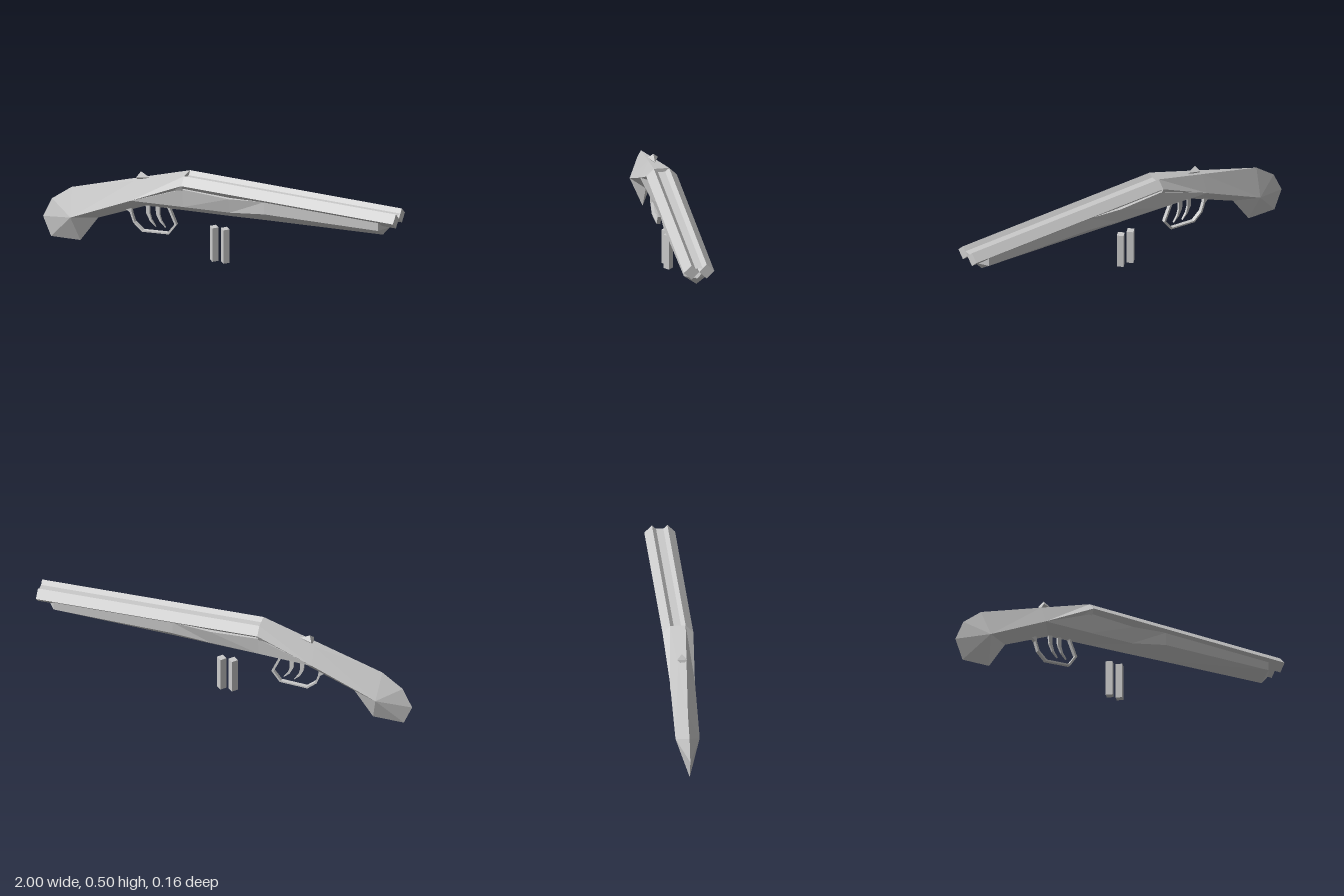
import * as THREE from 'three';
import { ConvexGeometry } from 'three/addons/geometries/ConvexGeometry.js';

const material = new THREE.MeshStandardMaterial({ color: 0xcccccc, flatShading: true, side: THREE.DoubleSide });

function part(name, geometry, parent) {
  const mesh = new THREE.Mesh(geometry, material);
  mesh.name = name;
  parent.add(mesh);
  return mesh;
}

// Collects the triangles of the +z half and mirrors each one to -z
function mirroredSurface() {
  const pos = [];
  const tri = (a, b, c) => {
    pos.push(...a, ...b, ...c);
    for (const [x, y, z] of [a, c, b]) pos.push(x, y, -z);
  };
  return {
    // Joins half rings listed from back to front, each running from top to bottom
    loft(rings) {
      for (let i = 0; i < rings.length - 1; i++) {
        const r = rings[i], s = rings[i + 1];
        for (let k = 0; k < r.length - 1; k++) {
          tri(r[k + 1], s[k + 1], s[k]);
          tri(r[k + 1], s[k], r[k]);
        }
      }
    },
    fan(centre, points) {
      for (let i = 0; i < points.length - 1; i++) tri(centre, points[i], points[i + 1]);
    },
    build() {
      const g = new THREE.BufferGeometry();
      g.setAttribute('position', new THREE.Float32BufferAttribute(pos, 3));
      g.computeVertexNormals();
      return g;
    },
  };
}

// Flat outline in the side plane, extruded evenly about z = 0
function plate(points, depth) {
  const shape = new THREE.Shape(points.map(([x, y]) => new THREE.Vector2(x, y)));
  return new THREE.ExtrudeGeometry(shape, { depth, bevelEnabled: false }).translate(0, 0, -depth / 2);
}

function stockGeometry() {
  const s = mirroredSurface();
  // Rings: top centre, top edge, shoulder, belly
  const rings = [
    [[-0.84, 0.305, 0], [-0.84, 0.305, 0], [-0.82, 0.16, 0.063], [-0.69, 0.157, 0]],
    [[-0.48, 0.415, 0], [-0.48, 0.415, 0.022], [-0.48, 0.32, 0.065], [-0.42, 0.275, 0]],
    [[-0.19, 0.503, 0], [-0.19, 0.503, 0.04], [-0.19, 0.463, 0.08], [-0.19, 0.289, 0]],
  ];
  s.loft(rings);
  s.fan(rings[2][0], rings[2].slice(1));
  // Faceted pommel around the widest point of the grip
  s.fan([-0.82, 0.16, 0.063], [
    [-0.84, 0.305, 0], [-0.95, 0.22, 0], [-1, 0.11, 0],
    [-0.955, 0.003, 0], [-0.79, 0.01, 0], [-0.69, 0.157, 0],
  ]);
  return s.build();
}

function foreEndGeometry() {
  const s = mirroredSurface();
  // x, top y, low edge y, low edge z, keel x, keel y
  const rings = [
    [-0.48, 0.32, 0.32, 0.065, -0.42, 0.275],
    [-0.19, 0.437, 0.333, 0.055, -0.19, 0.289],
    [0.07, 0.43, 0.345, 0.047, 0.07, 0.304],
    [0.27, 0.45, 0.38, 0.065, 0.27, 0.317],
    [0.91, 0.455, 0.403, 0.065, 0.91, 0.354],
  ].map(([x, top, low, z, kx, ky]) => [[x, top, 0], [x, top, 0.065], [x, low, z], [kx, ky, 0]]);
  s.loft(rings);
  // Pointed front cap
  s.fan([0.95, 0.403, 0], rings[4]);
  return s.build();
}

export function createModel() {
  const model = new THREE.Group();
  model.name = 'doubleBarrelGun';

  part('stock', stockGeometry(), model);
  part('foreEnd', foreEndGeometry(), model);

  // Twin diamond-section barrels
  for (const side of [1, -1]) {
    const barrel = new THREE.CylinderGeometry(0.04, 0.04, 1.19, 4).rotateZ(Math.PI / 2);
    part(side > 0 ? 'leftBarrel' : 'rightBarrel', barrel, model).position.set(0.405, 0.463, 0.04 * side);
  }
  const rib = new THREE.PlaneGeometry(1.19, 0.038).rotateX(-Math.PI / 2);
  part('barrelRib', rib, model).position.set(0.405, 0.483, 0);

  // Top lever
  part('topLever', new ConvexGeometry([
    [-0.468, 0.425, 0.012], [-0.468, 0.425, -0.012], [-0.465, 0.44, 0.026], [-0.465, 0.44, -0.026],
    [-0.45, 0.466, 0], [-0.4, 0.44, 0], [-0.41, 0.43, 0],
  ].map((p) => new THREE.Vector3(...p))), model);

  // Trigger guard: an outer path and the same path drawn inwards
  const outer = [[-0.53, 0.24], [-0.508, 0.222], [-0.49, 0.17], [-0.44, 0.126], [-0.29, 0.138], [-0.246, 0.2], [-0.285, 0.29]];
  const inner = outer.map(([x, y]) => [-0.38 + (x + 0.38) * 0.91, 0.21 + (y - 0.21) * 0.89]);
  inner[0] = [-0.5, 0.255];
  inner[6] = [-0.298, 0.29];
  part('triggerGuard', plate([...outer, ...inner.reverse()], 0.02), model);

  // Curved triggers
  const blade = [[-0.012, 0.02], [-0.008, -0.045], [0.012, -0.085], [0.045, -0.115], [0.022, -0.08], [0.012, -0.045], [0.012, 0.02]];
  [[-0.41, 0.28], [-0.355, 0.285]].forEach(([x, y], i) => {
    part(i ? 'frontTrigger' : 'rearTrigger', plate(blade, 0.012), model).position.set(x, y, 0);
  });

  // Loose cartridges
  [-0.038, 0.024].forEach((x, i) => {
    const shell = new THREE.CylinderGeometry(0.025, 0.025, 0.191, 4);
    part('cartridge' + (i + 1), shell, model).position.set(x, 0.13, 0);
  });

  return model;
}
